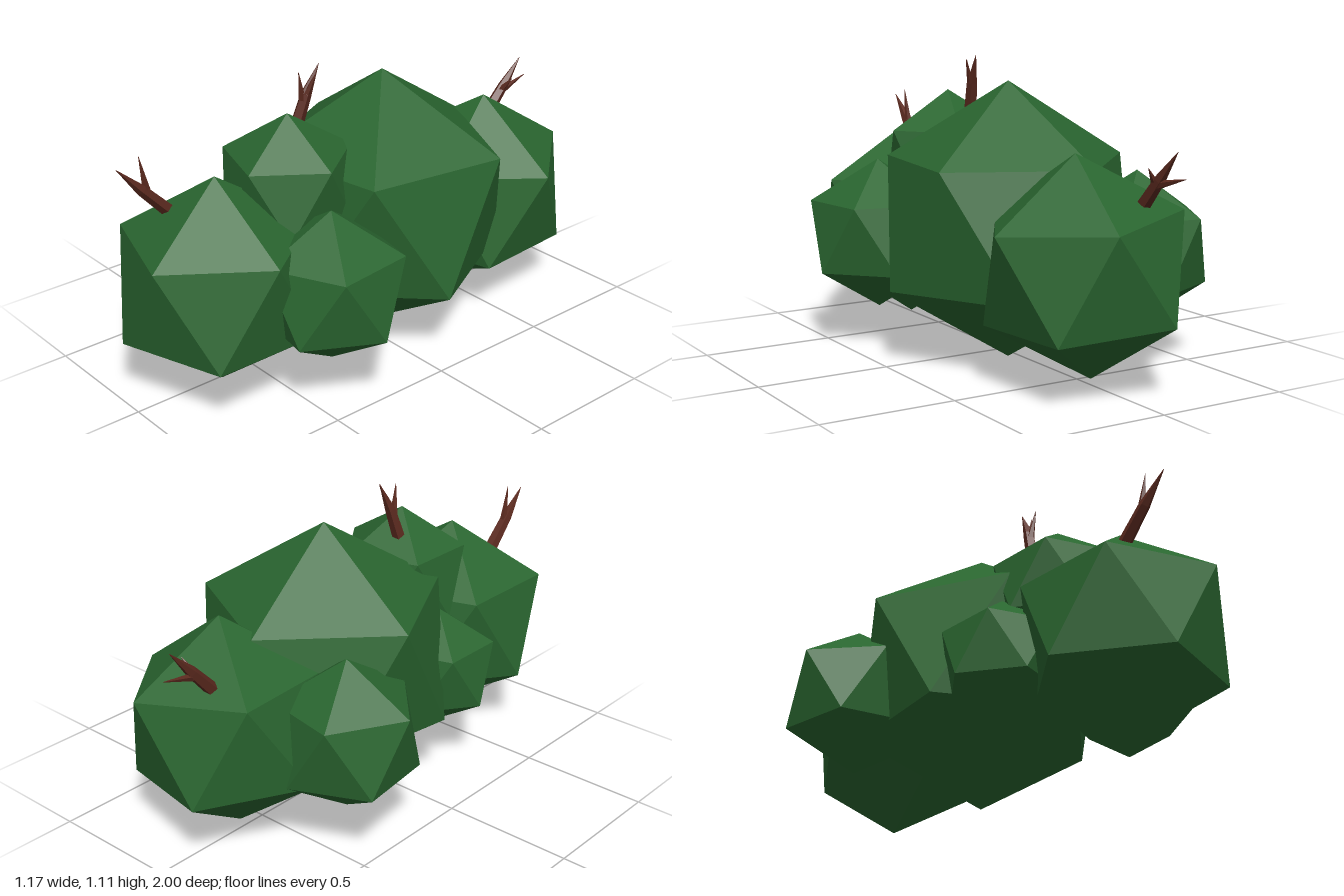
import * as THREE from 'three';

const DEG = Math.PI / 180;
const leaf = new THREE.MeshStandardMaterial({ color: 0x2a6630, flatShading: true });
const bark = new THREE.MeshStandardMaterial({ color: 0x5c2a1f, flatShading: true });

// Icosahedron standing on a vertex; turn = angle of an upper-ring corner from +x towards +z
function clump(name, [x, y, z], radius, turn, tilt = 0) {
  const geo = new THREE.IcosahedronGeometry(radius, 0);
  geo.rotateZ(-Math.atan(2 / (1 + Math.sqrt(5))));
  geo.rotateY(-turn * DEG);
  geo.rotateZ(-tilt);
  const mesh = new THREE.Mesh(geo, leaf);
  mesh.name = name;
  mesh.position.set(x, y, z);
  return mesh;
}

// Tapered five-sided stick between two points
function stick(name, from, to, r0, r1) {
  const a = new THREE.Vector3(...from), b = new THREE.Vector3(...to);
  const dir = b.clone().sub(a);
  const mesh = new THREE.Mesh(new THREE.CylinderGeometry(r1, r0, dir.length(), 5), bark);
  mesh.name = name;
  mesh.position.copy(a).add(b).multiplyScalar(0.5);
  mesh.quaternion.setFromUnitVectors(new THREE.Vector3(0, 1, 0), dir.normalize());
  return mesh;
}

// Forked twig: a stem, a pointed end, and side shoots
function twig(name, base, fork, tip, shoots) {
  const group = new THREE.Group();
  group.name = name;
  group.add(stick('stem', base, fork, 0.026, 0.021));
  group.add(stick('tip', fork, tip, 0.021, 0.001));
  for (const [from, to] of shoots) group.add(stick('shoot', from, to, 0.016, 0.001));
  return group;
}

export function createModel() {
  const bush = new THREE.Group();
  bush.name = 'bush';

  // Foliage
  bush.add(
    clump('middleClump', [0.04, 0.523, -0.105], 0.518, -27.3),
    clump('frontClump', [0.04, 0.43, 0.66], 0.4, 0),
    clump('backClump', [0.047, 0.43, -0.6], 0.4, -4, 0.09),
    clump('topClump', [0.04, 0.708, 0.34], 0.271, 0),
    clump('leftClump', [0.33, 0.43, 0.383], 0.29, 29),
    clump('rightBackClump', [-0.33, 0.43, -0.4], 0.29, 173),
    clump('rightFrontClump', [-0.19, 0.398, 0.285], 0.24, 0),
  );

  // Twigs
  bush.add(
    twig('frontTwig', [-0.067, 0.69, 0.77], [-0.067, 0.81, 0.885], [-0.065, 0.91, 0.98],
      [[[-0.065, 0.79, 0.865], [-0.062, 0.935, 0.892]]]),
    twig('topTwig', [-0.015, 0.88, 0.262], [0, 1.01, 0.222], [0.012, 1.118, 0.172],
      [[[-0.005, 0.98, 0.235], [0.005, 1.1, 0.258]], [[0, 0.99, 0.23], [0.036, 1.1, 0.2]]]),
    twig('backTwig', [-0.066, 0.66, -0.78], [-0.066, 0.76, -0.87], [-0.068, 0.86, -0.962],
      [[[-0.066, 0.74, -0.86], [-0.073, 0.775, -1]], [[-0.066, 0.74, -0.85], [-0.02, 0.8, -0.87]]]),
  );
  return bush;
}
